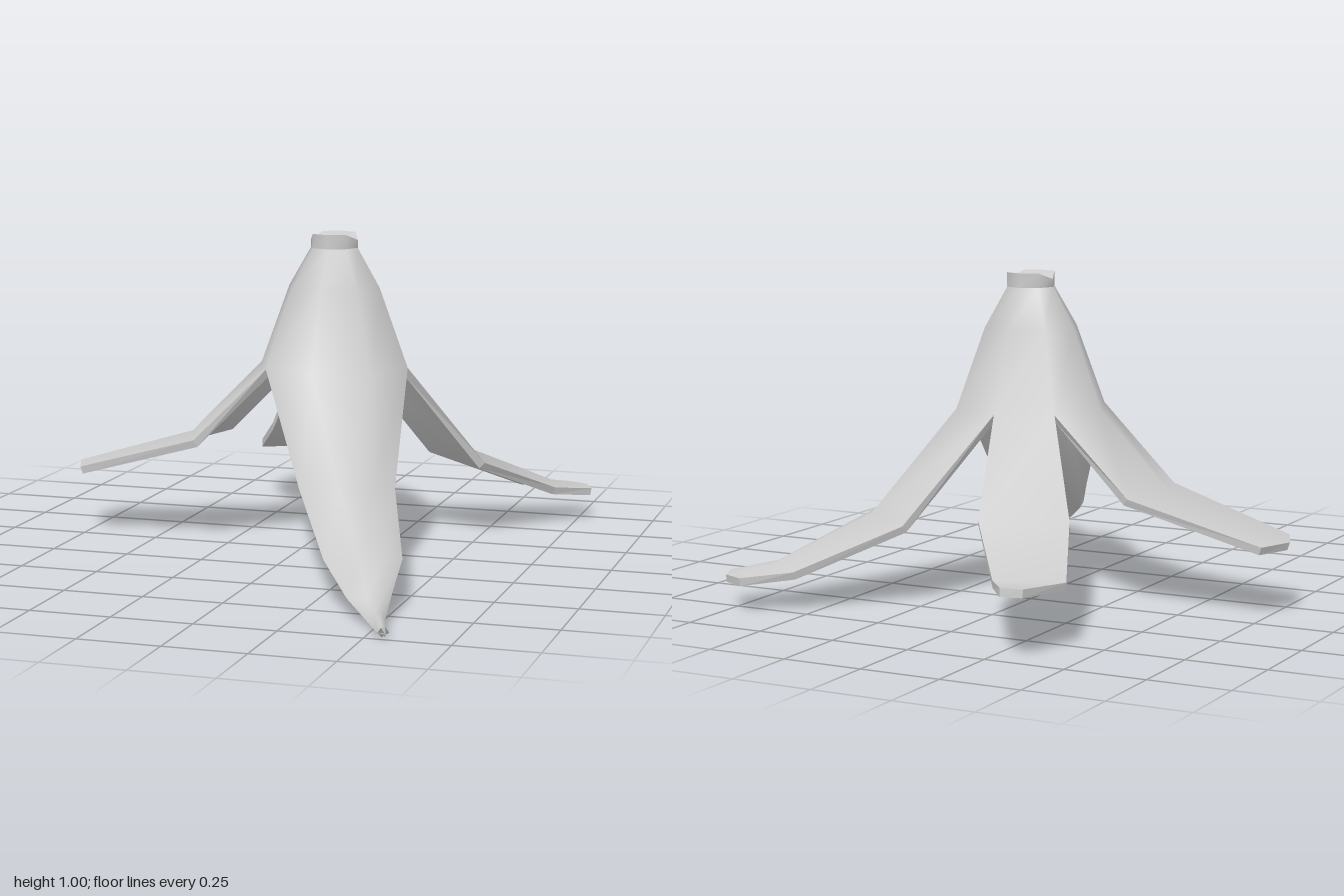
import * as THREE from 'three';
import { mergeVertices, mergeGeometries } from 'three/addons/utils/BufferGeometryUtils.js';

const CX = 0.077, CZ = -0.1, SIDES = 8, THICKNESS = 0.025;

// Octagonal ring; y may vary with the side index
function ring(radius, y) {
  return Array.from({ length: SIDES + 1 }, (_, i) => {
    const a = (i % SIDES) * Math.PI * 2 / SIDES;
    return [CX + Math.cos(a) * radius, typeof y === 'function' ? y(i % SIDES) : y, CZ + Math.sin(a) * radius];
  });
}

// Triangles between successive rows of points
function strip(rows) {
  const out = [];
  for (let i = 0; i < rows.length - 1; i++) {
    for (let j = 0; j < rows[i].length - 1; j++) {
      const a = rows[i][j], b = rows[i][j + 1], c = rows[i + 1][j + 1], d = rows[i + 1][j];
      out.push(...a, ...b, ...c, ...a, ...c, ...d);
    }
  }
  return out;
}

function fromPositions(positions) {
  const g = new THREE.BufferGeometry();
  g.setAttribute('position', new THREE.Float32BufferAttribute(positions, 3));
  return g;
}

// Give a smooth open surface an inner skin and flat rims along its open edges
function thicken(surface, t) {
  const outer = mergeVertices(surface, 1e-4);
  outer.computeVertexNormals();
  const pos = outer.attributes.position, nor = outer.attributes.normal, idx = outer.index.array;
  const inner = outer.clone();
  for (let i = 0; i < pos.count; i++) {
    inner.attributes.position.setXYZ(i,
      pos.getX(i) - nor.getX(i) * t, pos.getY(i) - nor.getY(i) * t, pos.getZ(i) - nor.getZ(i) * t);
  }
  inner.setIndex(Array.from(idx).reverse());
  inner.computeVertexNormals();

  const edges = new Set(), rim = [];
  const corners = (k) => [idx[k], idx[k - (k % 3) + ((k + 1) % 3)]];
  for (let k = 0; k < idx.length; k++) edges.add(corners(k).join());
  const at = (g, i) => new THREE.Vector3().fromBufferAttribute(g.attributes.position, i).toArray();
  for (let k = 0; k < idx.length; k++) {
    const [a, b] = corners(k);
    if (edges.has(`${b},${a}`)) continue;
    const A = at(outer, a), B = at(outer, b), a2 = at(inner, a), b2 = at(inner, b);
    rim.push(...B, ...A, ...a2, ...B, ...a2, ...b2);
  }
  const rimGeometry = fromPositions(rim);
  rimGeometry.computeVertexNormals();
  return mergeGeometries([outer.toNonIndexed(), inner.toNonIndexed(), rimGeometry]);
}

export function createModel() {
  const group = new THREE.Group();
  const material = new THREE.MeshStandardMaterial({ color: 0xcccccc });
  const add = (name, geometry) => {
    const mesh = new THREE.Mesh(geometry, material);
    mesh.name = name;
    group.add(mesh);
  };

  // Upper bell of the peel; each flap hangs from a slice of its lowest ring
  const base = ring(0.243, 0.6);
  const bell = [ring(0.077, 0.975), ring(0.15, 0.85), base];

  const flaps = [
    // front flap, narrowing to a stub
    [base.slice(0, 4),
      [[0.37, 0.28, 0.22], [0.33, 0.29, 0.35], [0.24, 0.3, 0.39], [0.1, 0.28, 0.335]],
      [[0.5, 0.15, 0.6], [0.475, 0.165, 0.7], [0.41, 0.165, 0.72], [0.285, 0.15, 0.68]],
      [[0.513, 0.09, 0.75], [0.5, 0.09, 0.81], [0.46, 0.085, 0.835], [0.395, 0.075, 0.81]],
      [[0.525, 0.035, 0.87], [0.515, 0.06, 0.88], [0.5, 0.06, 0.885], [0.48, 0.03, 0.885]],
      [[0.565, 0.03, 0.97], [0.56, 0.05, 0.992], [0.55, 0.05, 1], [0.535, 0.03, 0.985]]],
    // flap toward -x
    [base.slice(3, 6),
      [[-0.34, 0.36, 0.07], [-0.405, 0.36, -0.1], [-0.34, 0.36, -0.27]],
      [[-0.755, 0.24, 0.015], [-0.8, 0.24, -0.1], [-0.755, 0.24, -0.215]]],
    // narrow back flap
    [base.slice(5, 7),
      [[-0.265, 0.325, -0.505], [-0.015, 0.325, -0.61]],
      [[-0.4, 0.21, -0.79], [-0.2, 0.21, -0.86]],
      [[-0.36, 0.222, -0.975], [-0.3, 0.225, -1]]],
    // back flap toward +x
    [base.slice(6, 9),
      [[0.285, 0.27, -0.545], [0.45, 0.28, -0.46], [0.525, 0.27, -0.3]],
      [[0.55, 0.14, -0.745], [0.66, 0.145, -0.71], [0.695, 0.14, -0.605]],
      [[0.695, 0.122, -0.82], [0.765, 0.122, -0.79], [0.795, 0.122, -0.72]]],
  ];
  add('peel', thicken(fromPositions([bell, ...flaps].flatMap(strip)), THICKNESS));

  // Short stem with a shallow crease across its end
  const rimHeight = (i) => (i % 4 === 0 ? 1 : 1.02);
  const top = ring(0.077, rimHeight);
  const centre = Array(SIDES + 1).fill([CX, 1, CZ]);
  const side = mergeVertices(fromPositions(strip([top, ring(0.077, 0.975)])), 1e-4);
  side.computeVertexNormals();
  const cap = fromPositions(strip([centre, top]));
  cap.computeVertexNormals();
  add('stem', mergeGeometries([side.toNonIndexed(), cap]));

  return group;
}
